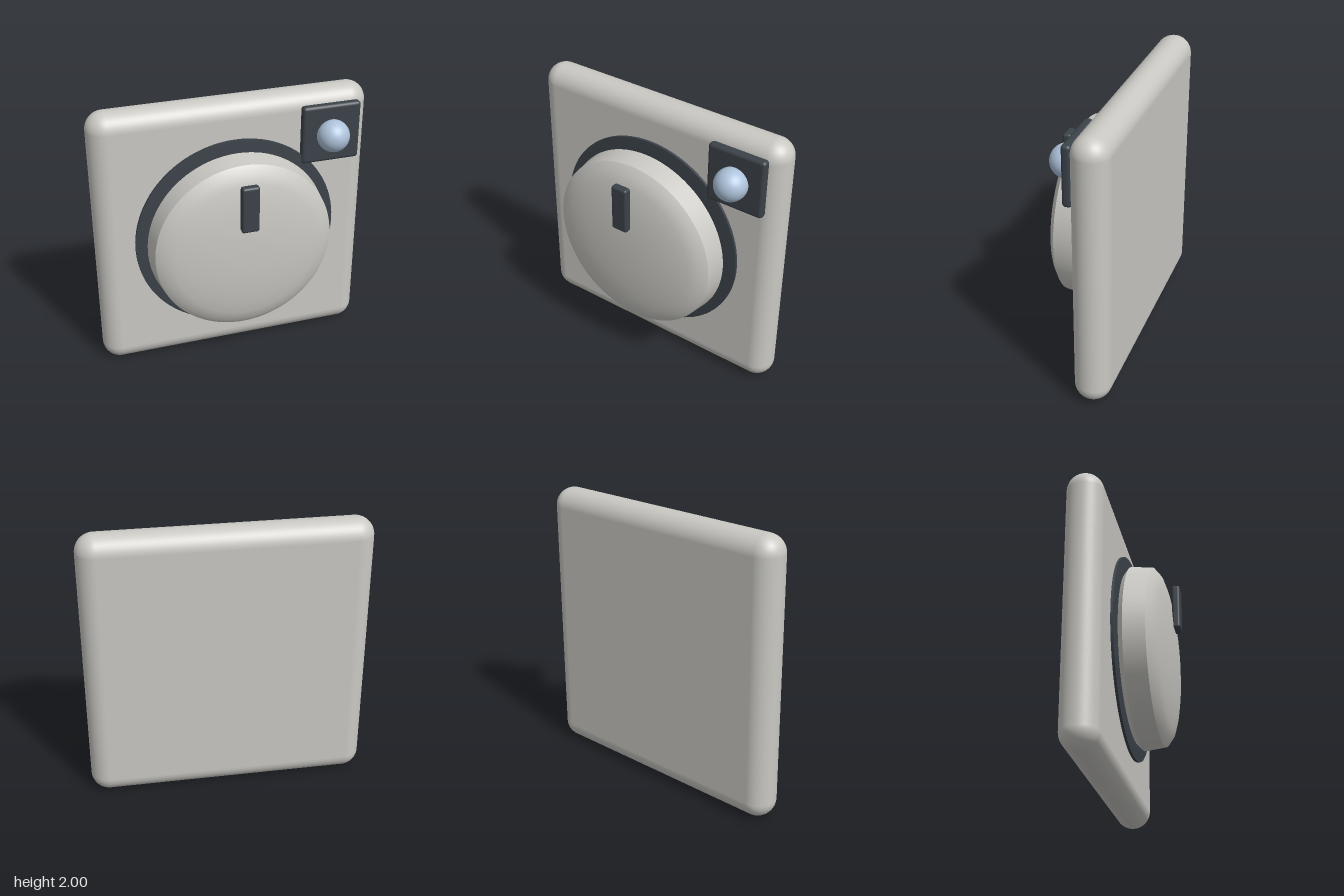
import * as THREE from 'three';
import { RoundedBoxGeometry } from 'three/addons/geometries/RoundedBoxGeometry.js';

function material(name, color) {
  const m = new THREE.MeshStandardMaterial({ color });
  m.name = name;
  return m;
}

export function createModel() {
  const group = new THREE.Group();
  const grey = material('warm grey', 0xc9c8c3);
  const dark = material('charcoal', 0x3b4249);
  const blue = material('pale blue', 0xaec3db);

  function add(name, geometry, mat, x, y, z, parent = group) {
    const mesh = new THREE.Mesh(geometry, mat);
    mesh.name = name;
    mesh.position.set(x, y, z);
    parent.add(mesh);
    return mesh;
  }

  // Turned part facing +z; each profile is [radius, z] from back to front.
  // Separate profiles keep a sharp edge where they meet.
  function turned(name, profiles, mat) {
    const part = new THREE.Group();
    part.name = name;
    part.position.y = 1;
    group.add(part);
    profiles.forEach((profile, i) => {
      const points = profile.map(([r, z]) => new THREE.Vector2(r, z));
      const geometry = new THREE.LatheGeometry(points, 96).rotateX(Math.PI / 2);
      add(name + 'Surface' + (i + 1), geometry, mat, 0, 0, 0, part);
    });
  }

  // Wall plate with fully rounded rim
  add('wallPlate', new RoundedBoxGeometry(2, 2, 0.26, 8, 0.13), grey, 0, 1, -0.195);

  // Thin tapered collar behind the dial
  turned('collar', [
    [[0, -0.07], [0.4, -0.062], [0.6, -0.054], [0.737, -0.042]],
    [[0.737, -0.042], [0.737, -0.024]],
    [[0.737, -0.024], [0.6, -0.014], [0, -0.012]],
  ], dark);

  // Dial: back bevel, tapered side, domed face
  turned('dial', [
    [[0.62, -0.02], [0.662, 0.02]],
    [[0.662, 0.02], [0.643, 0.172]],
    [[0.643, 0.172], [0.59, 0.213], [0.52, 0.236], [0.43, 0.255],
      [0.32, 0.27], [0.2, 0.279], [0.1, 0.283], [0, 0.284]],
  ], grey);

  // Pointer on the dial
  add('pointer', new RoundedBoxGeometry(0.126, 0.345, 0.06, 4, 0.018), dark, 0, 1.372, 0.295);

  // Indicator lamp on its square mount
  add('lampMount', new RoundedBoxGeometry(0.43, 0.43, 0.066, 4, 0.025), dark, 0.695, 1.7, -0.038);
  add('lamp', new THREE.SphereGeometry(0.115, 40, 28), blue, 0.693, 1.7, 0.033);

  return group;
}
